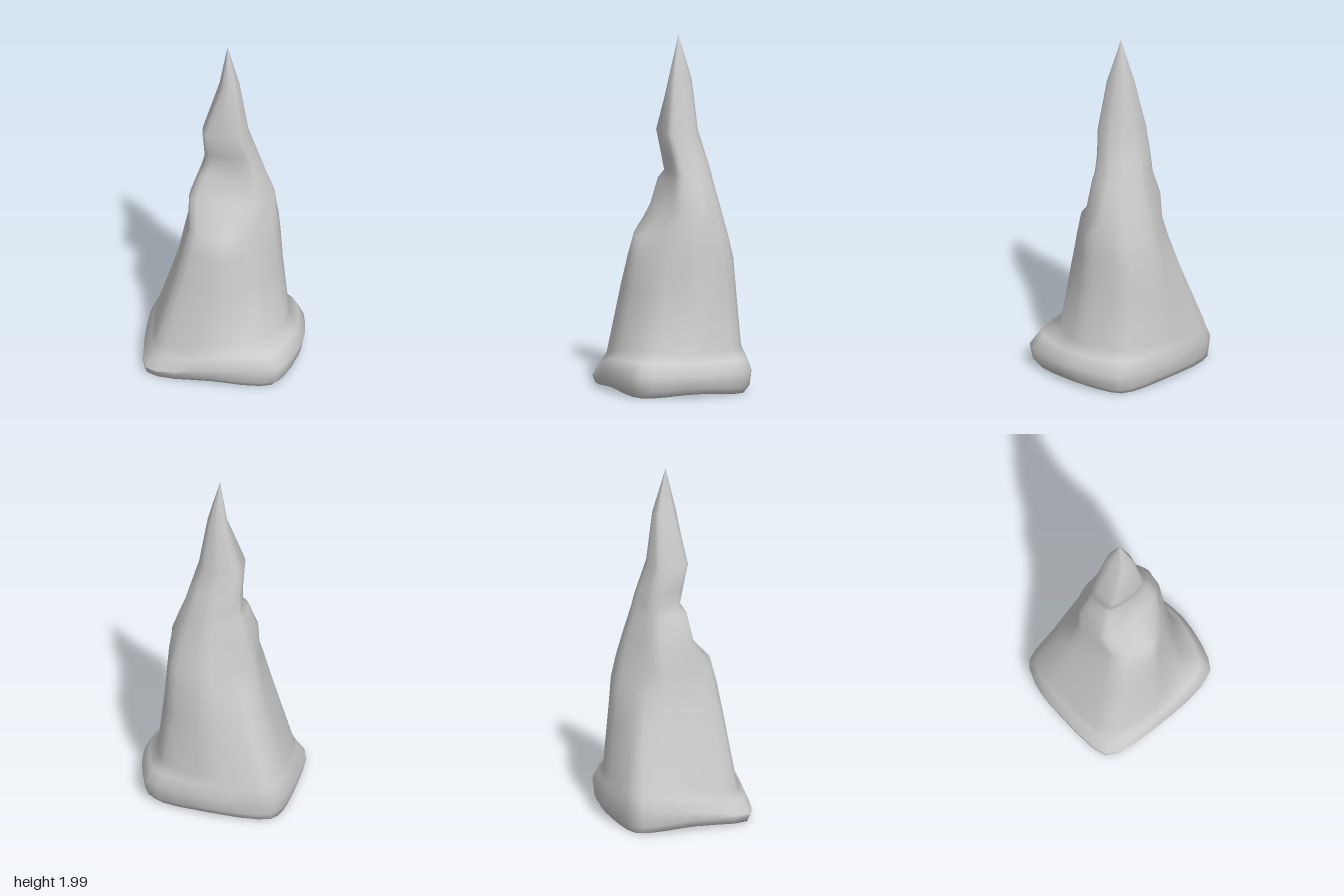
import * as THREE from 'three';

const SEGMENTS = 32;

// Each ring: height, x min, x max, z min, z max, then how far the corners reach
// (front left, back left, back right, front right; 0.71 is round, 1 is square)
const BRIM = [
  [0.20, -0.39, 0.345, -0.365, 0.325, 0.70, 0.75, 0.85, 0.84], // lining meets the wall
  [0.08, -0.405, 0.36, -0.37, 0.345, 0.76, 0.75, 0.87, 0.89],
  [0.03, -0.415, 0.38, -0.375, 0.36, 0.80, 0.76, 0.87, 0.89],
  [0.015, -0.425, 0.41, -0.385, 0.375, 0.82, 0.77, 0.86, 0.88],
  [0.05, -0.44, 0.435, -0.40, 0.395, 0.83, 0.79, 0.84, 0.87],
  [0.13, -0.45, 0.45, -0.41, 0.41, 0.83, 0.79, 0.84, 0.84],
  [0.20, -0.415, 0.41, -0.39, 0.385, 0.79, 0.78, 0.85, 0.81],
];
const CONE = [
  [0.25, -0.395, 0.36, -0.38, 0.34, 0.69, 0.745, 0.85, 0.825],
  [0.58, -0.285, 0.32, -0.34, 0.29, 0.645, 0.757, 0.772, 0.798],
  [0.75, -0.25, 0.305, -0.32, 0.265, 0.61, 0.77, 0.69, 0.77],
  [0.88, -0.22, 0.295, -0.285, 0.235, 0.58, 0.77, 0.67, 0.76],
  [1.03, -0.19, 0.27, -0.25, 0.085, 0.78, 0.69, 0.67, 0.97], // shelf over the front
  [1.18, -0.145, 0.215, -0.21, 0.065, 0.82, 0.68, 0.67, 0.92],
  [1.23, -0.135, 0.195, -0.20, 0.045, 0.87, 0.68, 0.70, 0.82], // pinched fold
  [1.32, -0.13, 0.17, -0.175, 0.062, 0.82, 0.69, 0.75, 0.82],
  [1.46, -0.13, 0.13, -0.135, 0.085, 0.83, 0.70, 0.77, 0.85],
  [1.75, -0.04, 0.08, -0.095, 0.045, 0.83, 0.69, 0.88, 0.60],
  [2.00, 0.009, 0.011, -0.021, -0.019, 0.71, 0.71, 0.71, 0.71], // tip
];

// Smooth closed outline through four sides and four corners; the right side leans back
function ringPoints([y, x0, x1, z0, z1, fl, bl, br, fr]) {
  const cx = (x0 + x1) / 2, cz = (z0 + z1) / 2;
  const rx = (x1 - x0) / 2, rz = (z1 - z0) / 2;
  const directions = [[1, 0], [fl, fl], [0, 1], [-fr, fr], [-1, -0.25], [-br, -br], [0, -1], [bl, -bl]];
  const corners = directions.map(([u, v]) => new THREE.Vector3(cx + rx * u, y, cz + rz * v));
  const curve = new THREE.CatmullRomCurve3(corners, true, 'catmullrom', 0.35);
  return Array.from({ length: SEGMENTS }, (_, j) => curve.getPoint(j / SEGMENTS));
}

// Brim droops at the front right corner and its underside undulates
function sagBrim(p) {
  const angle = Math.atan2(p.z, p.x);
  const droop = Math.max(0, Math.cos(angle - Math.PI * 0.75)) ** 4;
  if (p.y > 0.1 && p.y < 0.3) p.y -= 0.07 * droop;
  if (p.y < 0.1) p.y += 0.01 * Math.cos(4 * angle);
}

function loft(rings) {
  const positions = [], indices = [];
  rings.forEach((ring, i) => ring.forEach((p, j) => {
    positions.push(p.x, p.y, p.z);
    if (i === rings.length - 1) return;
    const next = (j + 1) % SEGMENTS;
    const a = i * SEGMENTS + j, b = i * SEGMENTS + next;
    const c = a + SEGMENTS, d = b + SEGMENTS;
    indices.push(a, c, b, b, c, d);
  }));
  const geometry = new THREE.BufferGeometry();
  geometry.setAttribute('position', new THREE.Float32BufferAttribute(positions, 3));
  geometry.setIndex(indices);
  geometry.computeVertexNormals();
  return geometry;
}

export function createModel() {
  const group = new THREE.Group();
  group.name = 'pointedHat';
  const material = new THREE.MeshStandardMaterial({ color: 0xcccccc, side: THREE.DoubleSide });

  // Rolled brim and crumpled cone are one continuous cloth surface, open below
  const rings = [...BRIM, ...CONE].map(ringPoints);
  rings.flat().forEach(sagBrim);
  const cloth = new THREE.Mesh(loft(rings), material);
  cloth.name = 'hatCloth';
  group.add(cloth);
  return group;
}
